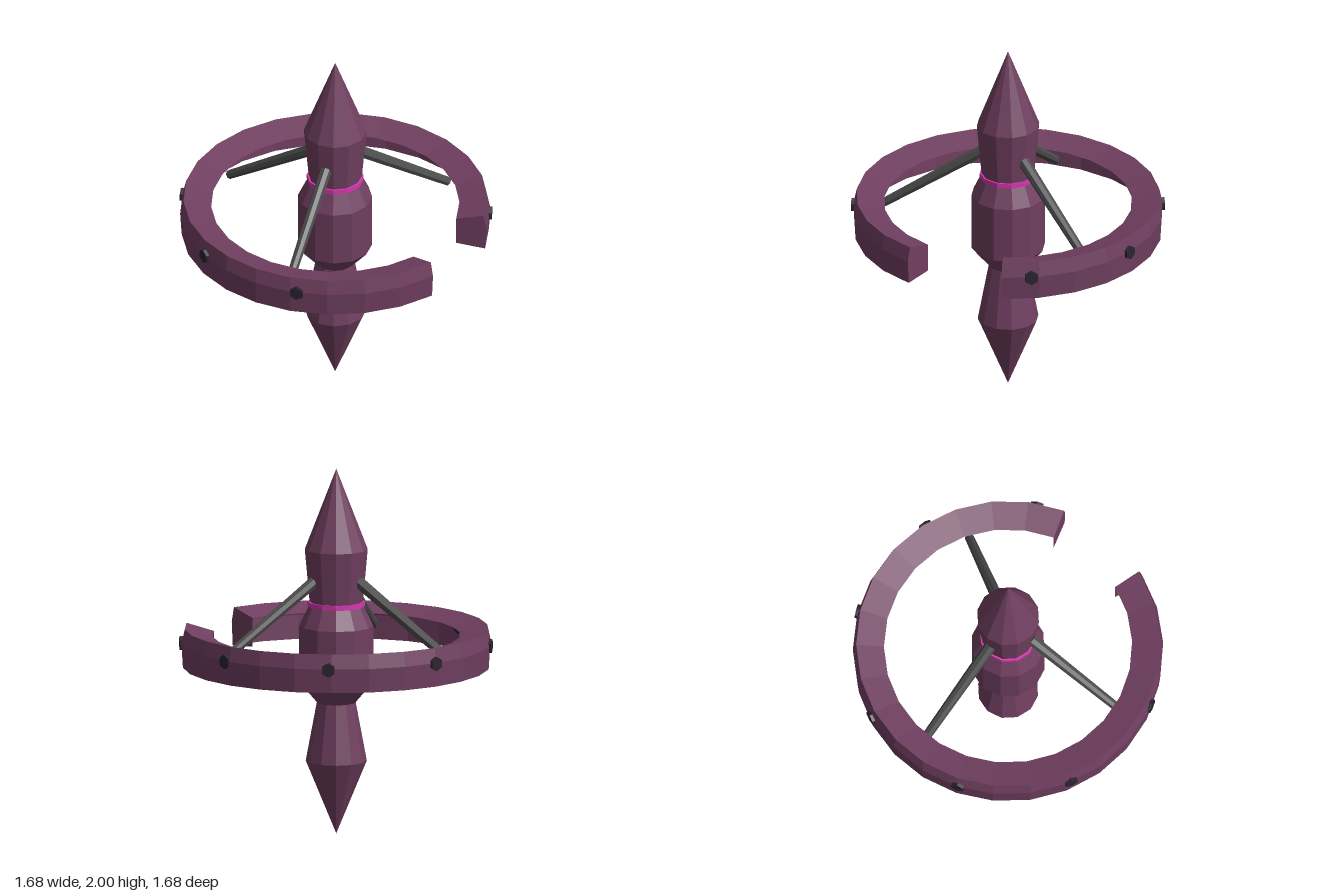
import * as THREE from 'three';

const rad = THREE.MathUtils.degToRad;
const pts = (list) => list.map(([x, y]) => new THREE.Vector2(x, y));

function material(name, color) {
  const m = new THREE.MeshStandardMaterial({ color, flatShading: true, side: THREE.DoubleSide });
  m.name = name;
  return m;
}

export function createModel() {
  const group = new THREE.Group();
  const plum = material('plum hull', 0x703f60);
  const pink = material('pink glow', 0xd836b0);
  const grey = material('grey strut', 0x4c4c4e);
  const dark = material('dark bolt', 0x2b2430);

  const add = (name, geometry, mat, parent = group) => {
    const mesh = new THREE.Mesh(geometry, mat);
    mesh.name = name;
    parent.add(mesh);
    return mesh;
  };

  // Spindle hull, pointed at both ends
  add('hull', new THREE.LatheGeometry(pts([
    [0, 0], [0.165, 0.4], [0.105, 0.72], [0.2, 0.83],
    [0.2, 1.14], [0.143, 1.26], [0.17, 1.56], [0, 2],
  ]), 12), plum);

  // Glowing band round the neck
  add('neckBand', new THREE.CylinderGeometry(0.154, 0.154, 0.026, 12), pink).position.y = 1.26;

  // Open ring: outer wall and top flange, closed by a plate at each end
  const ringStart = 77.5, ringEnd = 399.5;
  const section = pts([[0.83, 0.92], [0.838, 1.05], [0.82, 1.13], [0.67, 1.09]]);
  const ring = new THREE.Group();
  ring.name = 'ring';
  group.add(ring);
  add('ringShell', new THREE.LatheGeometry(section, 23, rad(90 - ringEnd), rad(ringEnd - ringStart)), plum, ring);
  const endShape = new THREE.Shape([...section, new THREE.Vector2(0.67, 0.933)]);
  for (const a of [ringStart, ringEnd]) {
    add('ringEndPlate', new THREE.ShapeGeometry(endShape), plum, ring).rotation.y = -rad(a);
  }

  // Hexagonal bolts through the outer wall
  for (let i = 0; i < 7; i++) {
    const a = rad(131 + i * 42.93);
    const geo = new THREE.CylinderGeometry(0.039, 0.039, 0.042, 6).rotateX(Math.PI / 2);
    const bolt = add('bolt', geo, dark, ring);
    bolt.position.set(0.826 * Math.cos(a), 1.047, 0.826 * Math.sin(a));
    bolt.rotation.y = Math.PI / 2 - a;
  }

  // Tapered struts from the neck down to the ring
  for (const deg of [0, 137.3, 239.3]) {
    const a = rad(deg);
    const at = (r, y) => new THREE.Vector3(r * Math.cos(a), y, r * Math.sin(a));
    const top = at(0.14, 1.39), end = at(0.68, 1.03);
    const dir = top.clone().sub(end);
    const strut = add('strut', new THREE.CylinderGeometry(0.033, 0.025, dir.length(), 8), grey);
    strut.position.copy(top).add(end).multiplyScalar(0.5);
    strut.quaternion.setFromUnitVectors(new THREE.Vector3(0, 1, 0), dir.normalize());
  }

  return group;
}
